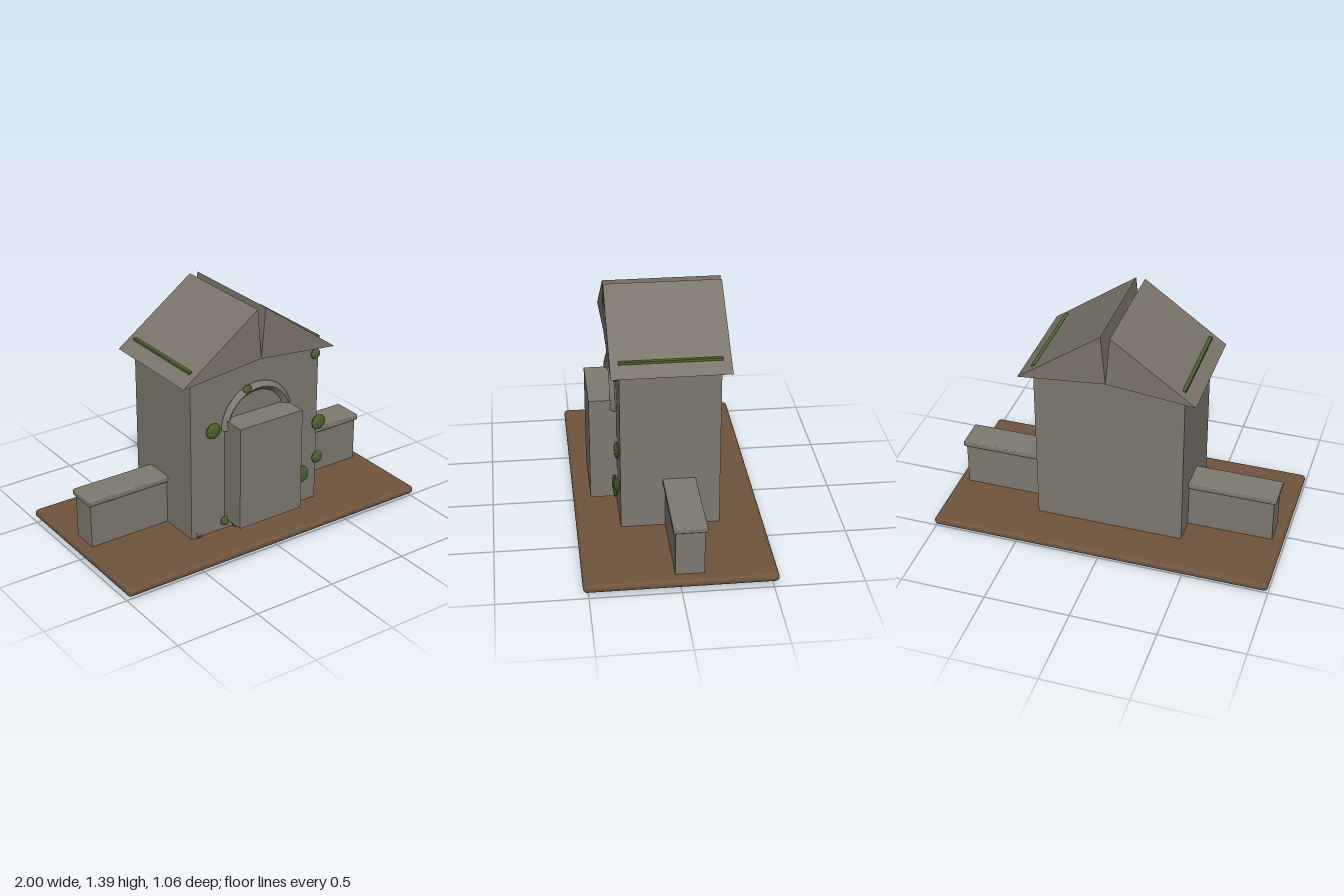
import * as THREE from 'three';
import { RoundedBoxGeometry } from 'three/addons/geometries/RoundedBoxGeometry.js';

function material(name, color, extra = {}) {
  const m = new THREE.MeshStandardMaterial({ color, ...extra });
  m.name = name;
  return m;
}

export function createModel() {
  const group = new THREE.Group();
  const stone = material('stone', 0x7f7a70, { flatShading: true });
  const roofStone = material('roof stone', 0x7c756b, { flatShading: true });
  const soil = material('soil', 0x6e543d);
  const moss = material('moss', 0x4f6230, { flatShading: true });

  function add(name, geometry, mat, x = 0, y = 0, z = 0) {
    const mesh = new THREE.Mesh(geometry, mat);
    mesh.name = name;
    mesh.position.set(x, y, z);
    group.add(mesh);
    return mesh;
  }
  // Box given by its lower and upper corners
  function box(name, mat, [x0, y0, z0], [x1, y1, z1], radius = 0) {
    const size = [x1 - x0, y1 - y0, z1 - z0];
    const geo = radius ? new RoundedBoxGeometry(...size, 3, radius) : new THREE.BoxGeometry(...size);
    return add(name, geo, mat, (x0 + x1) / 2, (y0 + y1) / 2, (z0 + z1) / 2);
  }

  // Ground slab, main block and protruding door slab
  box('groundSlab', soil, [-1, 0.035, -0.53], [1, 0.083, 0.53], 0.022);
  box('body', stone, [-0.435, 0.08, -0.28], [0.435, 1.1, 0.28]);
  box('door', stone, [-0.212, 0.153, 0.27], [0.212, 0.775, 0.435]);

  // Diamond-section arch over the door
  add('doorArch', new THREE.TorusGeometry(0.212, 0.027, 4, 24, Math.PI), stone, 0, 0.715, 0.289);

  for (const side of [-1, 1]) {
    const label = side > 0 ? 'left' : 'right';

    // Roof half: a triangular prism, leaving a narrow V along the ridge
    const shape = new THREE.Shape([
      new THREE.Vector2(side * 0.51, 1.053),
      new THREE.Vector2(side * 0.026, 1.4),
      new THREE.Vector2(0, 1.105),
    ]);
    add(label + 'Roof', new THREE.ExtrudeGeometry(shape, { depth: 0.66, bevelEnabled: false }), roofStone, 0, 0, -0.33);

    // Moss strip near the eave
    add(label + 'EaveMoss', new THREE.BoxGeometry(0.02, 0.014, 0.565), moss, side * 0.43, 1.112, 0);

    // Low side wall with overhanging cap
    const wall = add(label + 'Wall', new THREE.BoxGeometry(0.515, 0.27, 0.16), stone, side * 0.6775, 0.213, -0.05);
    wall.position.y = 0.08 + 0.135;
    add(label + 'WallCap', new RoundedBoxGeometry(0.53, 0.036, 0.187, 2, 0.008), stone, side * 0.685, 0.363, -0.05);
  }

  // Flattened ivy clumps on the front: x, y, radius
  const ivy = [
    [-0.298, 0.735, 0.048], [0.4, 1.022, 0.032], [0.436, 0.583, 0.049], [0.433, 0.356, 0.039],
    [0.257, 0.262, 0.052], [0.315, 0.272, 0.057], [-0.123, 0.12, 0.053], [-0.22, 0.144, 0.03],
    [-0.233, 0.044, 0.036], [-0.07, 0.925, 0.03],
  ];
  ivy.forEach(([x, y, r]) => {
    const clump = add('ivyClump', new THREE.IcosahedronGeometry(1, 1), moss, x, y, 0.299);
    clump.scale.set(r, r, 0.016);
  });

  // Small grass blades at the foot of the front wall
  [[-0.405, 0.035, 0.15], [-0.392, 0.022, -0.1], [-0.376, 0.028, -0.2], [0.06, 0.03, 0.1]].forEach(([x, h, tilt]) => {
    const blade = add('grassBlade', new THREE.ConeGeometry(0.004, h, 4), moss, x, 0.083 + h / 2, 0.289);
    blade.rotation.z = tilt;
  });

  return group;
}
